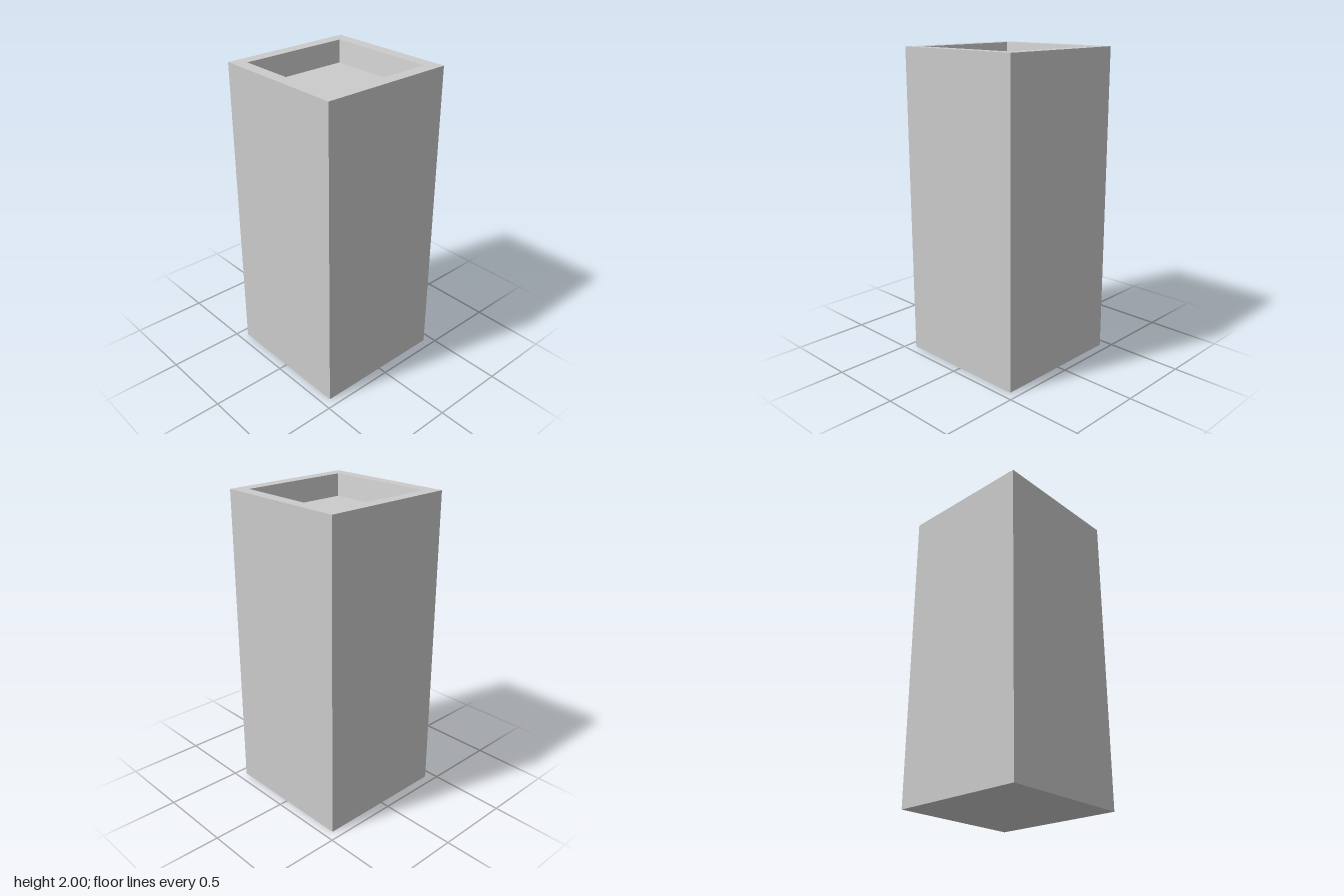
import * as THREE from 'three';

const material = new THREE.MeshStandardMaterial({ color: 0xcccccc, flatShading: true });

// Square solid of revolution: each profile point is [half width, height]
function squareLathe(name, profile) {
  const points = profile.map(([half, y]) => new THREE.Vector2(half * Math.SQRT2, y));
  const geometry = new THREE.LatheGeometry(points, 4, Math.PI / 4).toNonIndexed();
  geometry.computeVertexNormals();
  const mesh = new THREE.Mesh(geometry, material);
  mesh.name = name;
  return mesh;
}

export function createModel() {
  const outer = 0.443, rim = 0.363, floor = 0.338;
  const height = 2, floorY = 1.86;

  const planter = new THREE.Group();
  planter.name = 'planter';
  planter.add(
    // Base, straight sides and flat rim
    squareLathe('planterBody', [[0, 0], [outer, 0], [outer, height], [rim, height]]),
    // Recess with slightly tapered walls
    squareLathe('recess', [[rim, height], [floor, floorY], [0, floorY]]),
  );
  return planter;
}
